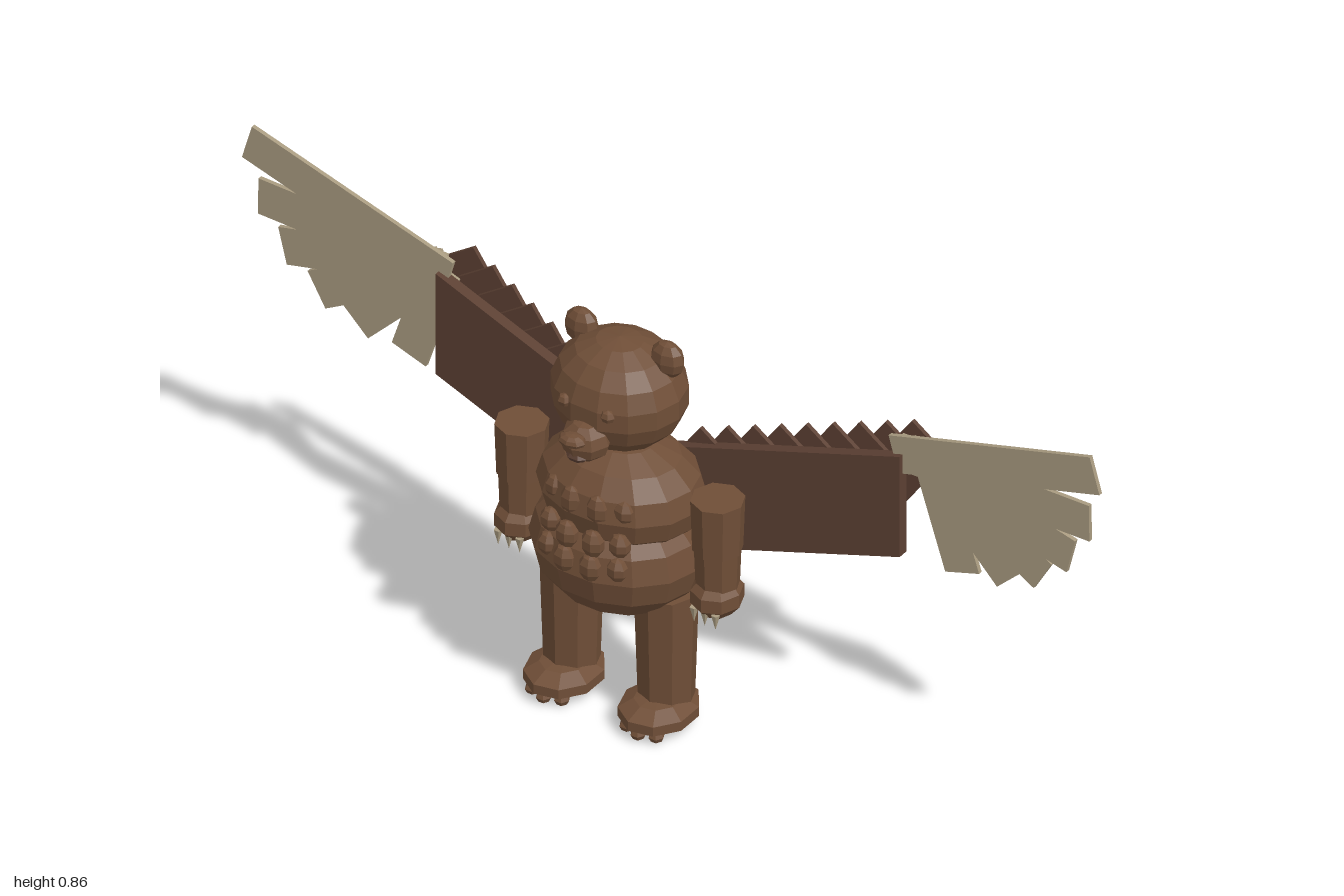
import * as THREE from 'three';

const mat = (name, color, extra = {}) => {
  const m = new THREE.MeshStandardMaterial({ color, flatShading: true, ...extra });
  m.name = name;
  return m;
};

export function createModel() {
  const fur = mat('fur brown', 0x6f4e37);
  const wingBrown = mat('wing brown', 0x5c4033);
  const tan = mat('feather tan', 0xa99b80);
  const root = new THREE.Group();
  root.name = 'wingedBear';

  const add = (name, geo, material, x, y, z) => {
    const m = new THREE.Mesh(geo, material);
    m.name = name;
    m.position.set(x, y, z);
    root.add(m);
    return m;
  };
  // Faceted ellipsoid
  const blob = (name, p, r, material = fur, seg = 8, rows = 6) =>
    add(name, new THREE.SphereGeometry(1, seg, rows).scale(...r), material, ...p);

  // Head and face
  blob('head', [0, 0.728, 0.036], [0.14, 0.12, 0.127], fur, 14, 9);
  blob('muzzle', [0, 0.675, 0.15], [0.052, 0.044, 0.05]);
  blob('nose', [0, 0.698, 0.198], [0.03, 0.014, 0.022]);
  blob('mouth', [0, 0.652, 0.184], [0.024, 0.011, 0.014], wingBrown, 6, 4);

  // Torso and tail
  blob('chest', [0, 0.5, 0.03], [0.175, 0.117, 0.142], fur, 14, 8);
  blob('belly', [0, 0.373, 0.04], [0.183, 0.138, 0.152], fur, 14, 8);
  blob('tail', [0, 0.3, -0.145], [0.05, 0.052, 0.052], fur, 8, 6);

  for (const s of [1, -1]) {
    blob('ear', [s * 0.1, 0.825, 0.02], [0.038, 0.04, 0.025]);
    blob('eye', [s * 0.05, 0.745, 0.15], [0.016, 0.014, 0.014], fur, 6, 4);

    // Stomach and chest muscles, in rows
    [[0.52, 0.155], [0.452, 0.172], [0.4, 0.18]].forEach(([y, z], i) => {
      blob('muscle', [s * 0.03, y, z], [0.026, i ? 0.03 : 0.034, 0.019], fur, 7, 5);
      blob('sideMuscle', [s * 0.08, y + 0.004, z - 0.019], [0.024, 0.026, 0.02], fur, 7, 5);
    });

    // Arm, hand and claws
    add('upperArm', new THREE.CylinderGeometry(0.054, 0.05, 0.115, 8), fur, s * 0.228, 0.5, 0.036);
    add('lowerArm', new THREE.CylinderGeometry(0.047, 0.043, 0.11, 8), fur, s * 0.228, 0.4, 0.036);
    blob('hand', [s * 0.228, 0.337, 0.038], [0.054, 0.047, 0.058], fur, 8, 5);
    for (let i = -1; i <= 1; i++) {
      const claw = new THREE.ConeGeometry(0.009, 0.035, 5).rotateX(Math.PI);
      add('claw', claw, tan, s * 0.228 + i * 0.025, 0.302, 0.08);
    }

    // Leg, foot and toes
    add('leg', new THREE.CylinderGeometry(0.064, 0.056, 0.26, 8), fur, s * 0.11, 0.175, 0.038);
    blob('foot', [s * 0.11, 0.037, 0.062], [0.08, 0.034, 0.094], fur, 9, 5);
    for (let i = -1; i <= 1; i++)
      blob('toe', [s * 0.11 + i * 0.034, 0.017, 0.133 - Math.abs(i) * 0.012], [0.016, 0.014, 0.018], fur, 6, 4);

    // Wing panel: slab sheared upward and backward toward its outer end
    const panel = new THREE.BoxGeometry(0.54, 0.235, 0.024);
    const p = panel.attributes.position;
    for (let i = 0; i < p.count; i++) {
      const x = p.getX(i) + 0.27;
      p.setXYZ(i, s * p.getX(i), p.getY(i) + 0.4 + x * 0.31, p.getZ(i) - 0.102 - x * 0.067);
    }
    if (s < 0) panel.index.array.reverse(); // keep faces outward on the mirrored side
    add('wingPanel', panel, wingBrown, s * 0.27, 0, 0);

    // Overlapping brown feathers, leaning outward at the top
    for (let i = 0; i < 9; i++) {
      const t = i / 8;
      const f = add('innerFeather', new THREE.BoxGeometry(0.1, 0.33 - 0.08 * t, 0.009), wingBrown,
        s * (0.03 + 0.45 * t), 0.415 + 0.163 * t, -0.118 - 0.097 * t);
      f.rotation.z = -s * 0.61;
    }

    // Fan of tan feathers turning about their lower inner corner
    [16, 1, -14, -30, -46, -72].forEach((deg, i) => {
      const len = 0.487 - i * 0.049;
      const f = add('tipFeather', new THREE.BoxGeometry(len, 0.083, 0.009).translate(s * len / 2, 0.0415, 0),
        tan, s * 0.53, 0.637, -0.141 - i * 0.01);
      f.rotation.z = s * THREE.MathUtils.degToRad(deg);
    });
  }
  return root;
}
